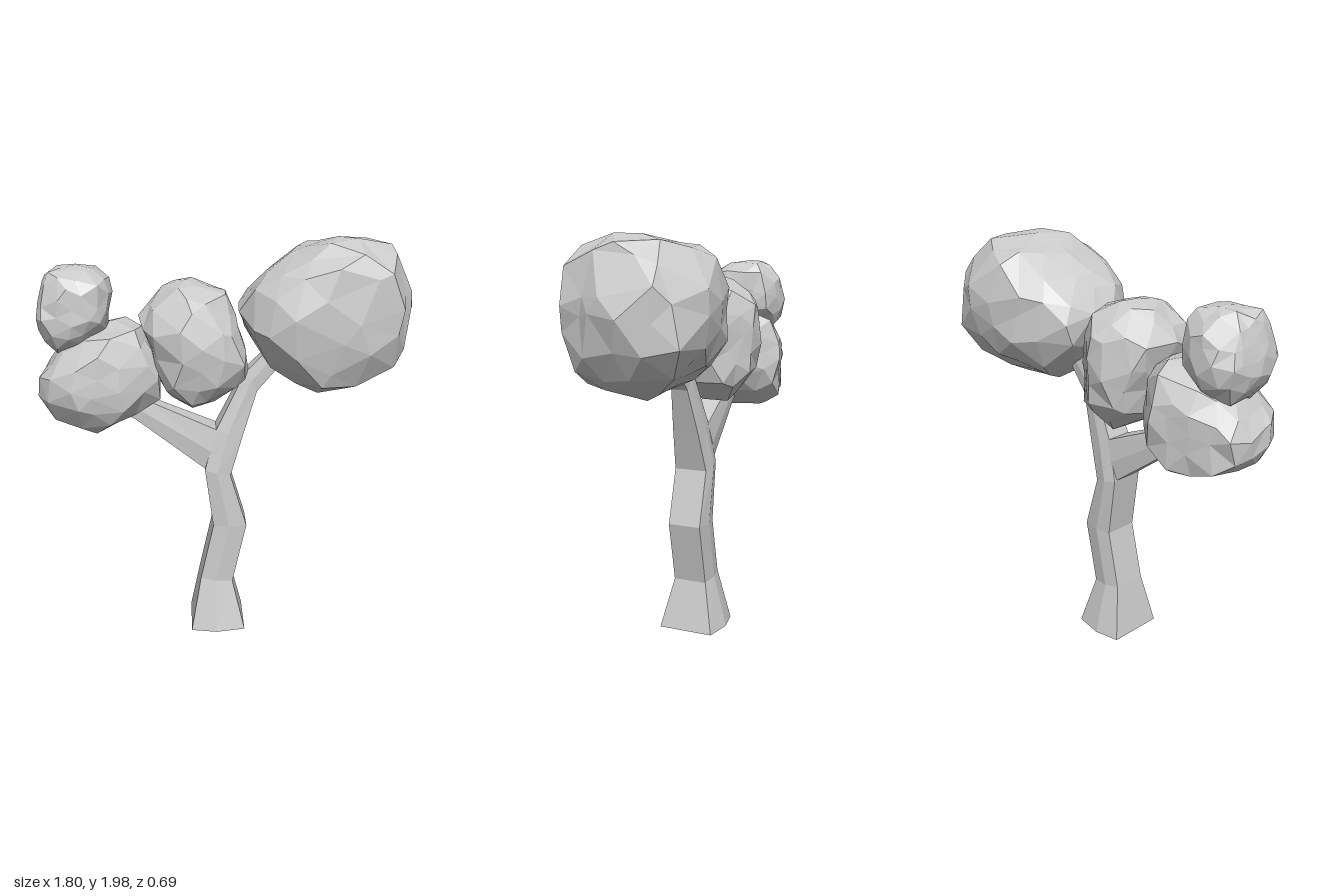
import * as THREE from 'three';

const material = new THREE.MeshStandardMaterial({ color: 0xcccccc, flatShading: true });

// Six-sided loft. Each section: [left x, left y, right x, right y, half depth]
function limb(name, sections) {
  const pos = [], idx = [], n = 6;
  for (const [lx, ly, rx, ry, d] of sections) {
    for (const [t, s] of [[0, -0.85], [0, 0.85], [0.47, 1], [1, 0.85], [1, -0.85], [0.47, -1]]) {
      pos.push(lx + (rx - lx) * t, ly + (ry - ly) * t, 0.015 + s * d);
    }
  }
  for (let i = 0; i < sections.length - 1; i++) {
    for (let j = 0; j < n; j++) {
      const a = i * n + j, b = i * n + (j + 1) % n;
      idx.push(a, b, b + n, a, b + n, a + n);
    }
  }
  // End caps
  const top = (sections.length - 1) * n;
  for (let j = 1; j < n - 1; j++) {
    idx.push(0, j + 1, j, top, top + j, top + j + 1);
  }
  const indexed = new THREE.BufferGeometry();
  indexed.setAttribute('position', new THREE.Float32BufferAttribute(pos, 3));
  indexed.setIndex(idx);
  const geometry = indexed.toNonIndexed();
  geometry.computeVertexNormals();
  const mesh = new THREE.Mesh(geometry, material);
  mesh.name = name;
  return mesh;
}

// How far a ray from (cu, cv) along (du, dv) runs before it meets a closed outline
function reach(outline, cu, cv, du, dv) {
  let best = Infinity;
  outline.forEach(([u, v], i) => {
    const [u2, v2] = outline[(i + 1) % outline.length];
    const eu = u2 - u, ev = v2 - v, det = du * ev - dv * eu;
    if (Math.abs(det) < 1e-9) return;
    const t = ((u - cu) * ev - (v - cv) * eu) / det;
    const s = ((u - cu) * dv - (v - cv) * du) / det;
    if (t > 0 && s > -1e-6 && s < 1 + 1e-6) best = Math.min(best, t);
  });
  return best;
}

// Repeatable noise in 0..1 from a position, so shared corners stay joined
function noise(v, seed) {
  const q = (a) => Math.round(a * 1000);
  const s = Math.sin(q(v.x) * 0.1271 + q(v.y) * 0.3117 + q(v.z) * 0.0747 + seed * 17.3) * 43758.5453;
  return s - Math.floor(s);
}

// Faceted leaf clump: a full ball carved by a front (x,y), a top (x,z) and perhaps a side (z,y) outline
function clump(name, depth, seed, front, plan, side = []) {
  const box = new THREE.Box2().setFromPoints(front.map(([x, y]) => new THREE.Vector2(x, y)));
  const c = box.getCenter(new THREE.Vector2());
  const size = box.getSize(new THREE.Vector2());
  const geometry = new THREE.IcosahedronGeometry(1, 2);
  const p = geometry.attributes.position;
  const v = new THREE.Vector3(), d = new THREE.Vector3();
  const fullness = 2.6;
  for (let i = 0; i < p.count; i++) {
    v.fromBufferAttribute(p, i);
    const [jx, jy, jz] = [0, 1, 2].map((k) => (noise(v, seed + k) - 0.5) * 0.22);
    d.set(v.x + jx, v.y + jy, v.z + jz).normalize();
    const dx = d.x * size.x / 2, dy = d.y * size.y / 2, dz = d.z * depth;
    const rim = reach(front, c.x, c.y, dx, dy);
    const round = (rim ** -fullness + Math.abs(d.z) ** fullness) ** (-1 / fullness);
    const carved = Math.min(round, reach(plan, c.x, 0, dx, dz), reach(side, 0, c.y, dz, dy));
    const r = carved * (1.055 - 0.07 * noise(v, seed + 3));
    p.setXYZ(i, c.x + dx * r, c.y + dy * r, dz * r);
  }
  geometry.computeVertexNormals();
  const mesh = new THREE.Mesh(geometry, material);
  mesh.name = name;
  return mesh;
}

export function createModel() {
  const tree = new THREE.Group();
  tree.name = 'tree';

  // Crooked trunk running on into the branch under the large clump
  tree.add(limb('trunk', [
    [-0.18, 0, 0.09, 0, 0.165],
    [-0.13, 0.27, 0.03, 0.25, 0.1],
    [-0.065, 0.56, 0.1, 0.56, 0.098],
    [-0.105, 0.86, 0.02, 0.83, 0.098],
    [-0.05, 1.06, 0.08, 1.03, 0.078],
    [0.09, 1.34, 0.15, 1.25, 0.05],
    [0.25, 1.5, 0.3, 1.42, 0.035],
  ]));

  // Side branch leaning towards the smaller clumps
  tree.add(limb('sideBranch', [
    [-0.1, 0.86, -0.04, 1.06, 0.08],
    [-0.43, 1.11, -0.36, 1.2, 0.05],
    [-0.55, 1.18, -0.51, 1.26, 0.035],
  ]));

  tree.add(clump('largeLeafClump', 0.36, 1, [
    [0.04, 1.6], [0.12, 1.75], [0.34, 1.92], [0.52, 2], [0.72, 1.98],
    [0.91, 1.72], [0.84, 1.4], [0.6, 1.28], [0.41, 1.25], [0.22, 1.38],
  ], [
    [0.03, -0.13], [0.3, -0.29], [0.62, -0.37], [0.78, -0.28], [0.91, -0.1],
    [0.78, 0.27], [0.6, 0.34], [0.33, 0.36], [0.18, 0.33], [0.04, 0.14],
  ], [
    [0.24, 2], [0.34, 1.88], [0.35, 1.3], [0, 1.25],
    [-0.3, 1.44], [-0.37, 1.83], [-0.2, 1.92],
  ]));
  tree.add(clump('middleLeafClump', 0.27, 6, [
    [-0.4, 1.62], [-0.27, 1.76], [-0.18, 1.78], [0, 1.72], [0.05, 1.58],
    [0.13, 1.38], [0.04, 1.26], [-0.14, 1.16], [-0.3, 1.26],
  ], [
    [-0.42, -0.07], [-0.28, -0.27], [-0.13, -0.26], [0.06, -0.11],
    [0.13, 0.1], [0.05, 0.27], [-0.28, 0.26], [-0.42, 0.15],
  ]));
  tree.add(clump('lowLeafClump', 0.27, 11, [
    [-0.92, 1.29], [-0.78, 1.46], [-0.57, 1.59], [-0.42, 1.59],
    [-0.28, 1.36], [-0.31, 1.22], [-0.6, 1.06], [-0.83, 1.14],
  ], [
    [-0.92, 0.03], [-0.86, -0.15], [-0.5, -0.26], [-0.34, -0.12],
    [-0.3, 0.15], [-0.5, 0.24], [-0.78, 0.28], [-0.9, 0.17],
  ]));
  tree.add(clump('smallLeafClump', 0.19, 16, [
    [-0.9, 1.59], [-0.82, 1.84], [-0.6, 1.84], [-0.53, 1.77],
    [-0.56, 1.56], [-0.7, 1.46], [-0.8, 1.45],
  ], [
    [-0.9, 0.16], [-0.86, -0.13], [-0.78, -0.2], [-0.6, -0.17],
    [-0.52, 0], [-0.53, 0.14], [-0.6, 0.19],
  ]));
  return tree;
}
